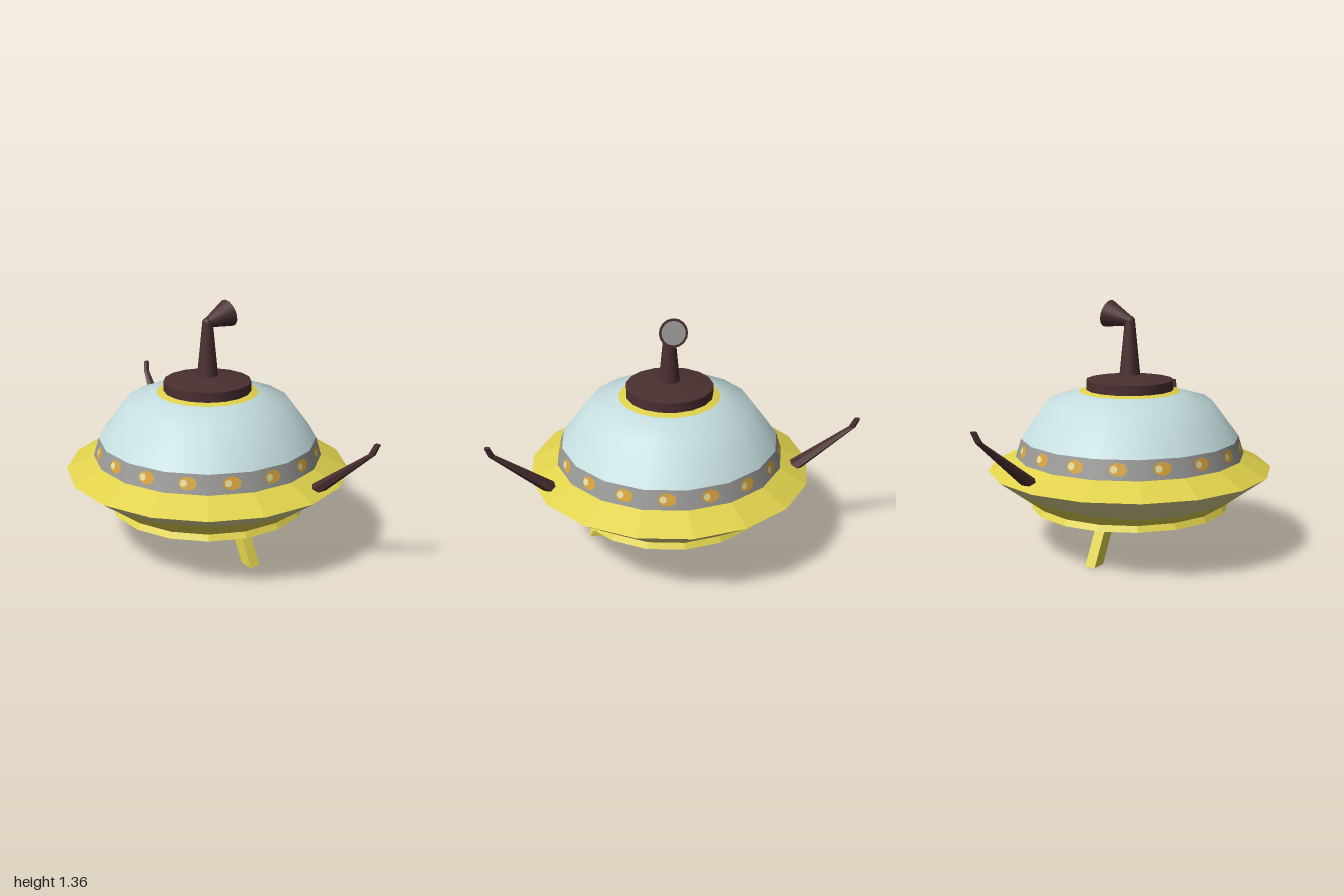
import * as THREE from 'three';

const SIDES = 17;
const mat = (name, color) => {
  const m = new THREE.MeshStandardMaterial({ color });
  m.name = name;
  return m;
};

export function createModel() {
  const yellow = mat('yellow', 0xe0d24c);
  const paleOlive = mat('paleOlive', 0xd6cf90);
  const glass = mat('paleBlue', 0xc4dcde);
  const dark = mat('darkBrown', 0x4a2f30);
  const grey = mat('grey', 0x9a9a98);
  const orange = mat('orange', 0xd9a43c);
  const cream = mat('cream', 0xe6e0a0);

  const model = new THREE.Group();
  model.name = 'flyingSaucer';

  const add = (name, geometry, material, parent = model) => {
    const mesh = new THREE.Mesh(geometry, material);
    mesh.name = name;
    parent.add(mesh);
    return mesh;
  };
  const facet = (geometry) => {
    const g = geometry.toNonIndexed();
    g.computeVertexNormals();
    return g;
  };
  // Profile listed from bottom to top as [radius, y]
  const lathe = (points) => new THREE.LatheGeometry(
    points.map(([r, y]) => new THREE.Vector2(r, y)), SIDES, Math.PI);

  // Underside
  add('bellyCone', lathe([[0, 0.06], [0.265, 0.161]]), yellow);
  add('bellyRing', lathe([[0.265, 0.161], [0.3, 0.175]]), paleOlive);
  add('bellyPlate', lathe([[0.3, 0.175], [0.36, 0.177]]), yellow);
  add('darkSkirt', facet(lathe([[0.36, 0.177], [0.55, 0.23]])), dark);
  add('lowerTrim', facet(lathe([[0.55, 0.23], [0.53, 0.26]])), yellow);

  // Lower hull, two colours meeting along a wavy line
  const low = [0.53, 0.26], rim = [0.78, 0.447], midY = 0.345;
  const radiusAt = (y) => low[0] + (rim[0] - low[0]) * (y - low[1]) / (rim[1] - low[1]);
  const wavy = (points) => {
    const g = lathe(points), p = g.attributes.position;
    for (let i = 0; i < p.count; i++) {
      if (Math.abs(p.getY(i) - midY) > 0.001) continue;
      const a = Math.atan2(p.getX(i), p.getZ(i));
      const y = midY + 0.035 * Math.cos(2 * (a - Math.PI / 4));
      p.setXYZ(i, radiusAt(y) * Math.sin(a), y, radiusAt(y) * Math.cos(a));
    }
    return facet(g);
  };
  const mid = [radiusAt(midY), midY];
  add('lowerHull', wavy([low, mid]), yellow);
  add('lowerHullEdge', wavy([mid, rim]), paleOlive);
  add('upperRim', facet(lathe([rim, [0.63, 0.52]])), yellow);

  // Cabin
  add('windowBand', lathe([[0.63, 0.52], [0.6, 0.62]]), grey);
  add('dome', lathe([[0.6, 0.62], [0.45, 0.82], [0.28, 0.869]]), glass);
  add('domeCollar', lathe([[0.28, 0.869], [0.22, 0.883]]), yellow);

  // Windows, one on each side of the band
  for (let i = 0; i < SIDES; i++) {
    const port = new THREE.Group();
    port.name = 'window';
    port.rotation.y = (i / SIDES) * Math.PI * 2;
    const plate = new THREE.Group();
    plate.name = 'windowPlate';
    plate.position.set(0.008, 0.573, 0.607);
    plate.rotation.x = -0.287;
    add('pane', new THREE.CircleGeometry(1, 16).scale(0.047, 0.034, 1), orange, plate);
    add('glint', new THREE.CircleGeometry(0.019, 8), cream, plate).position.set(-0.02, 0, 0.003);
    port.add(plate);
    model.add(port);
  }

  // Cap and periscope
  add('capSide', lathe([[0.24, 0.877], [0.24, 0.932]]), dark);
  add('capTop', lathe([[0.24, 0.932], [0.05, 0.962], [0, 0.962]]), dark);
  add('periscopeNeck', new THREE.CylinderGeometry(0.028, 0.058, 0.3, 16), dark).position.set(0, 1.105, 0);
  add('periscopeElbow', new THREE.SphereGeometry(0.029, 16, 10), dark).position.set(0, 1.25, 0);
  const scope = new THREE.Group();
  scope.name = 'periscopeHead';
  scope.position.set(0, 1.25, 0);
  scope.quaternion.setFromUnitVectors(
    new THREE.Vector3(0, 1, 0), new THREE.Vector3(0, 0.035, -0.14).normalize());
  add('horn', new THREE.CylinderGeometry(0.076, 0.027, 0.145, 16), dark, scope).position.y = 0.0725;
  const lens = add('lens', new THREE.CircleGeometry(0.063, 16), grey, scope);
  lens.rotation.x = -Math.PI / 2;
  lens.position.y = 0.148;
  model.add(scope);

  // Arms: stations give centre x, y, z and radius
  const stations = [[0.668, 0.465, -0.2, 0.053], [0.965, 0.725, -0.28, 0.018], [0.984, 0.78, -0.295, 0.016]];
  const arm = (s) => {
    const g = new THREE.CylinderGeometry(1, 1, 2, 6, 2), p = g.attributes.position;
    for (let i = 0; i < p.count; i++) {
      const [x, y, z, r] = stations[Math.round(p.getY(i)) + 1];
      p.setXYZ(i, s * x + p.getX(i) * r, y, z + (s < 0 ? 0.035 : 0) + p.getZ(i) * r);
    }
    return facet(g);
  };
  // Legs: boxes slanting outwards
  const leg = (s) => {
    const g = new THREE.BoxGeometry(0.078, 0.21, 0.06), p = g.attributes.position;
    for (let i = 0; i < p.count; i++) {
      const y = p.getY(i) + 0.105;
      p.setXYZ(i, p.getX(i) + s * (0.423 - y * 0.52), y, p.getZ(i) + (s < 0 ? 0.05 : 0.03));
    }
    return facet(g);
  };
  for (const [side, s] of [['left', 1], ['right', -1]]) {
    add(side + 'Arm', arm(s), dark);
    add(side + 'Leg', leg(s), yellow);
  }
  return model;
}
